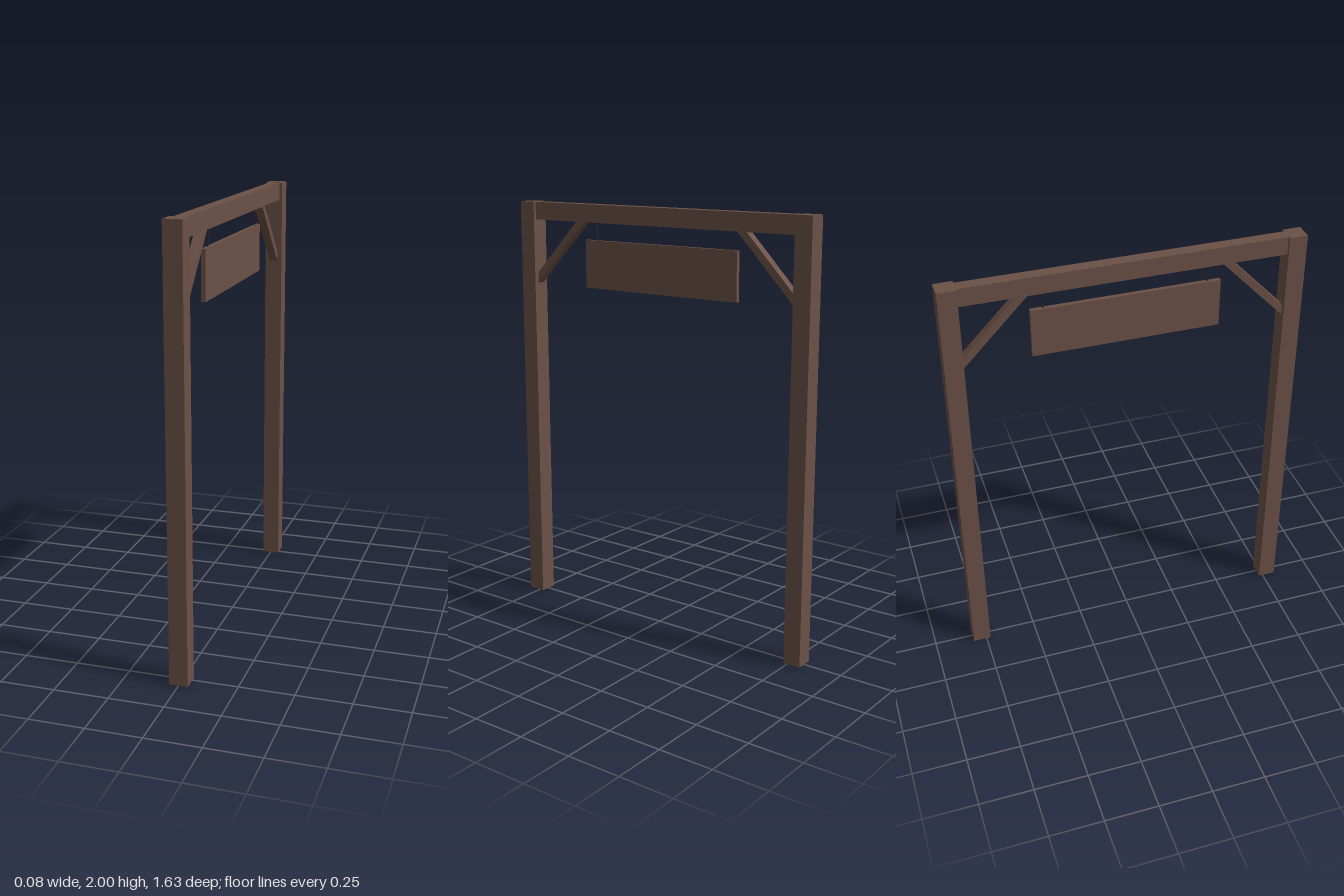
import * as THREE from 'three';

export function createModel() {
  const group = new THREE.Group();
  const wood = new THREE.MeshStandardMaterial({ color: 0x6b5147, side: THREE.DoubleSide });
  wood.name = 'brown wood';
  const iron = new THREE.MeshStandardMaterial({ color: 0x2b2523 });
  iron.name = 'dark iron';

  const add = (name, geometry, material, x = 0, y = 0, z = 0) => {
    const mesh = new THREE.Mesh(geometry, material);
    mesh.name = name;
    mesh.position.set(x, y, z);
    group.add(mesh);
    return mesh;
  };

  // Square post with an open foot: drop the bottom face of a box
  const postGeometry = () => {
    const box = new THREE.BoxGeometry(0.084, 2, 0.084);
    const index = Array.from(box.index.array);
    index.splice(18, 6);
    box.setIndex(index);
    box.clearGroups();
    return box;
  };

  // Diagonal brace outline, drawn as (z, y) and extruded across x
  const braceGeometry = (side) => {
    const outline = [[0.73, 1.607], [0.73, 1.657], [0.478, 1.917], [0.43, 1.917]];
    const shape = new THREE.Shape(outline.map(([z, y]) => new THREE.Vector2(-side * z, y)));
    const geometry = new THREE.ExtrudeGeometry(shape, { depth: 0.04, bevelEnabled: false });
    geometry.translate(0, 0, -0.02);
    geometry.rotateY(Math.PI / 2);
    return geometry;
  };

  // Top beam between the posts
  add('topBeam', new THREE.BoxGeometry(0.056, 0.084, 1.46), wood, 0, 1.957, 0);

  // Hanging board
  add('signBoard', new THREE.BoxGeometry(0.02, 0.226, 0.856), wood, 0, 1.718, 0.002);

  // Posts, braces and hangers at both ends
  for (const [side, end] of [[1, 'front'], [-1, 'back']]) {
    add(end + 'Post', postGeometry(), wood, 0, 1, side * 0.772);
    add(end + 'Brace', braceGeometry(side), wood);
    add(end + 'Hanger', new THREE.BoxGeometry(0.005, 0.09, 0.005), iron, 0, 1.873, side * 0.368);
  }

  return group;
}
